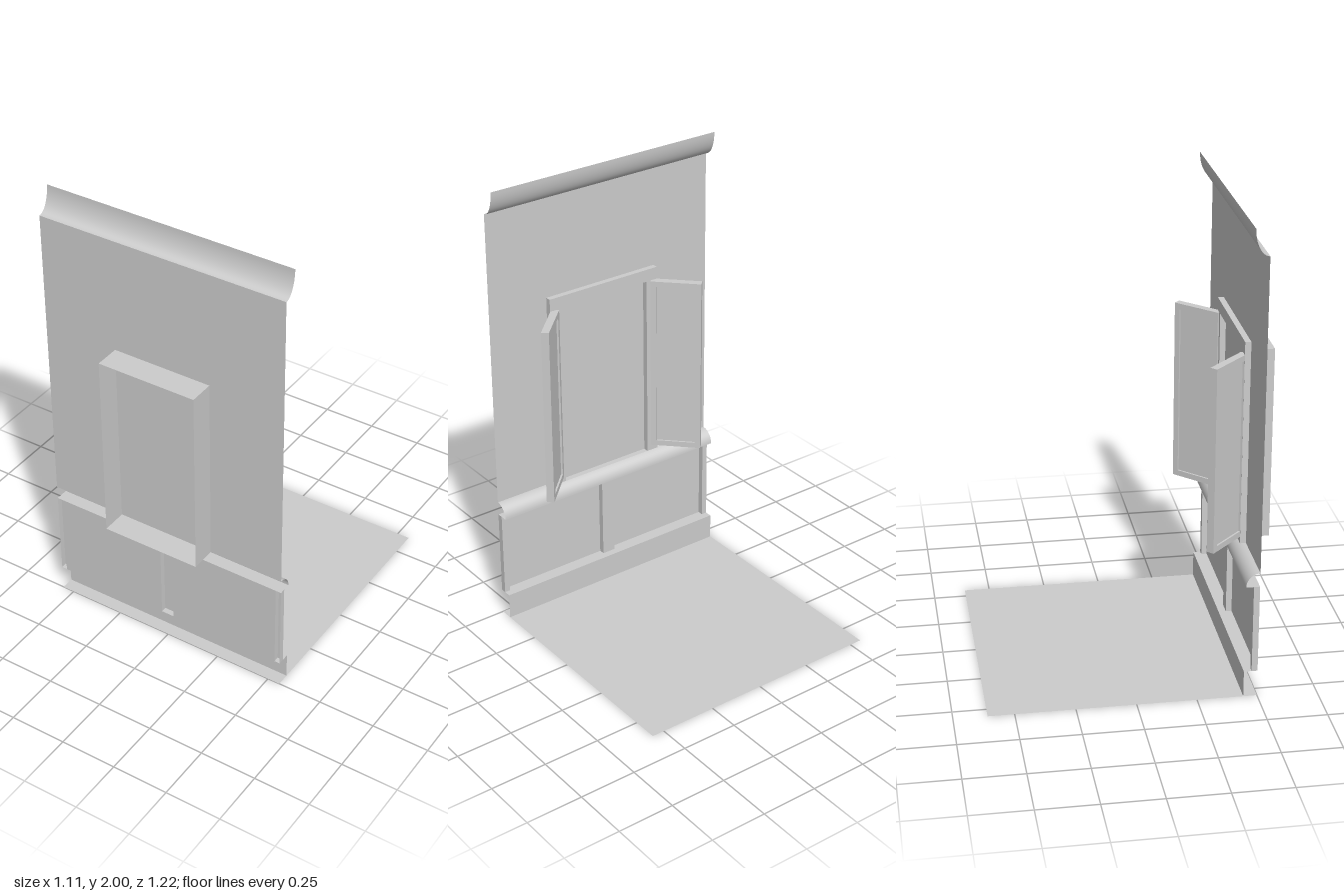
import * as THREE from 'three';

const plaster = new THREE.MeshStandardMaterial({ color: 0xcccccc, side: THREE.DoubleSide });
plaster.name = 'plaster';

const W = 0.555;      // half width of the wall
const WALL_Z = 0.5;   // plane of the wall
const TRIM_Z = 0.475; // room-side face of trim
const MOULD_Z = 0.443; // deepest reach of mouldings into the room

// Sheet made by sweeping a line of [x, y, z] points along an offset
function sweep(points, [dx, dy, dz], smooth = false) {
  const g = new THREE.PlaneGeometry(1, 1, 1, points.length - 1);
  const p = g.attributes.position;
  points.forEach(([x, y, z], i) => {
    p.setXYZ(2 * i, x, y, z);
    p.setXYZ(2 * i + 1, x + dx, y + dy, z + dz);
  });
  const out = smooth ? g : g.toNonIndexed();
  out.computeVertexNormals();
  return out;
}

function add(parent, name, geometry) {
  const m = new THREE.Mesh(geometry, plaster);
  m.name = name;
  parent.add(m);
  return m;
}

// Strip across the full wall width from [y, z] points
const across = (yz, smooth) => sweep(yz.map(([y, z]) => [-W, y, z]), [2 * W, 0, 0], smooth);

// Quarter ellipse leaving the wall level and ending upright
function quarter(y0, y1, n = 12) {
  return Array.from({ length: n + 1 }, (_, i) => {
    const t = (i / n) * Math.PI / 2;
    return [y0 + (y1 - y0) * (1 - Math.cos(t)), WALL_Z + (MOULD_Z - WALL_Z) * Math.sin(t)];
  });
}

// Hinged shutter: frame with a thin recessed panel, local x runs from the hinge outward
function makeShutter() {
  const g = new THREE.Group();
  const w = 0.22, h = 0.8, t = 0.033, b = 0.025;
  const s = new THREE.Shape([[0, 0], [w, 0], [w, h], [0, h]].map(([x, y]) => new THREE.Vector2(x, y)));
  s.holes.push(new THREE.Path([[b, b], [b, h - b], [w - b, h - b], [w - b, b]].map(([x, y]) => new THREE.Vector2(x, y))));
  add(g, 'shutterFrame', new THREE.ExtrudeGeometry(s, { depth: t, bevelEnabled: false }));
  const panel = new THREE.BoxGeometry(w - 2 * b, h - 2 * b, t - 0.016);
  panel.translate(w / 2, h / 2, t / 2);
  add(g, 'shutterPanel', panel);
  return g;
}

export function createModel() {
  const model = new THREE.Group();
  model.name = 'roomWallWithWindow';

  // Floor and wall
  add(model, 'floor', across([[0, WALL_Z], [0, -0.61]]));
  add(model, 'wall', across([[0.56, WALL_Z], [1.89, WALL_Z]]));

  // Mouldings
  add(model, 'cornice', across(quarter(1.89, 2), true));
  add(model, 'chairRail', across(quarter(0.56, 0.5), true));
  add(model, 'chairRailUnderside', across([[0.5, MOULD_Z], [0.5, WALL_Z]]));
  add(model, 'baseboard', across([[0, MOULD_Z], [0.115, MOULD_Z], [0.115, WALL_Z]]));

  // Panelling: stiles stepped into the room between two flat panels
  const outline = [
    [-W, WALL_Z], [-W, TRIM_Z], [-0.53, TRIM_Z], [-0.53, WALL_Z], [-0.03, WALL_Z], [-0.03, TRIM_Z],
    [0.03, TRIM_Z], [0.03, WALL_Z], [0.53, WALL_Z], [0.53, TRIM_Z], [W, TRIM_Z], [W, WALL_Z],
  ];
  add(model, 'panelling', sweep(outline.map(([x, z]) => [x, 0.115, z]), [0, 0.385, 0]));

  // Window reveal, open at its outer end
  const x = 0.22, y0 = 0.56, y1 = 1.39;
  const loop = [[-x, y0], [x, y0], [x, y1], [-x, y1], [-x, y0]];
  add(model, 'windowReveal', sweep(loop.map(([a, b]) => [a, b, TRIM_Z]), [0, 0, 0.61 - TRIM_Z]));

  // Window trim on the room side
  const o = x + 0.055;
  const trim = new THREE.Shape([[-o, y0], [-x, y0], [-x, y1], [x, y1], [x, y0], [o, y0], [o, y1 + 0.055], [-o, y1 + 0.055]]
    .map(([a, b]) => new THREE.Vector2(a, b)));
  const trimGeometry = new THREE.ExtrudeGeometry(trim, { depth: WALL_Z - TRIM_Z, bevelEnabled: false });
  trimGeometry.translate(0, 0, TRIM_Z);
  add(model, 'windowTrim', trimGeometry);

  // Shutters swung 45 degrees into the room
  for (const side of [1, -1]) {
    const shutter = makeShutter();
    shutter.name = side > 0 ? 'leftShutter' : 'rightShutter';
    if (side > 0) {
      shutter.position.set(0.234, 0.59, 0.468);
      shutter.rotation.y = Math.PI / 4;
    } else {
      // Hung from its free edge so that both are the same piece
      shutter.position.set(-0.39, 0.59, 0.312);
      shutter.rotation.y = -Math.PI / 4;
      shutter.position.x -= 0;
    }
    model.add(shutter);
  }
  return model;
}
